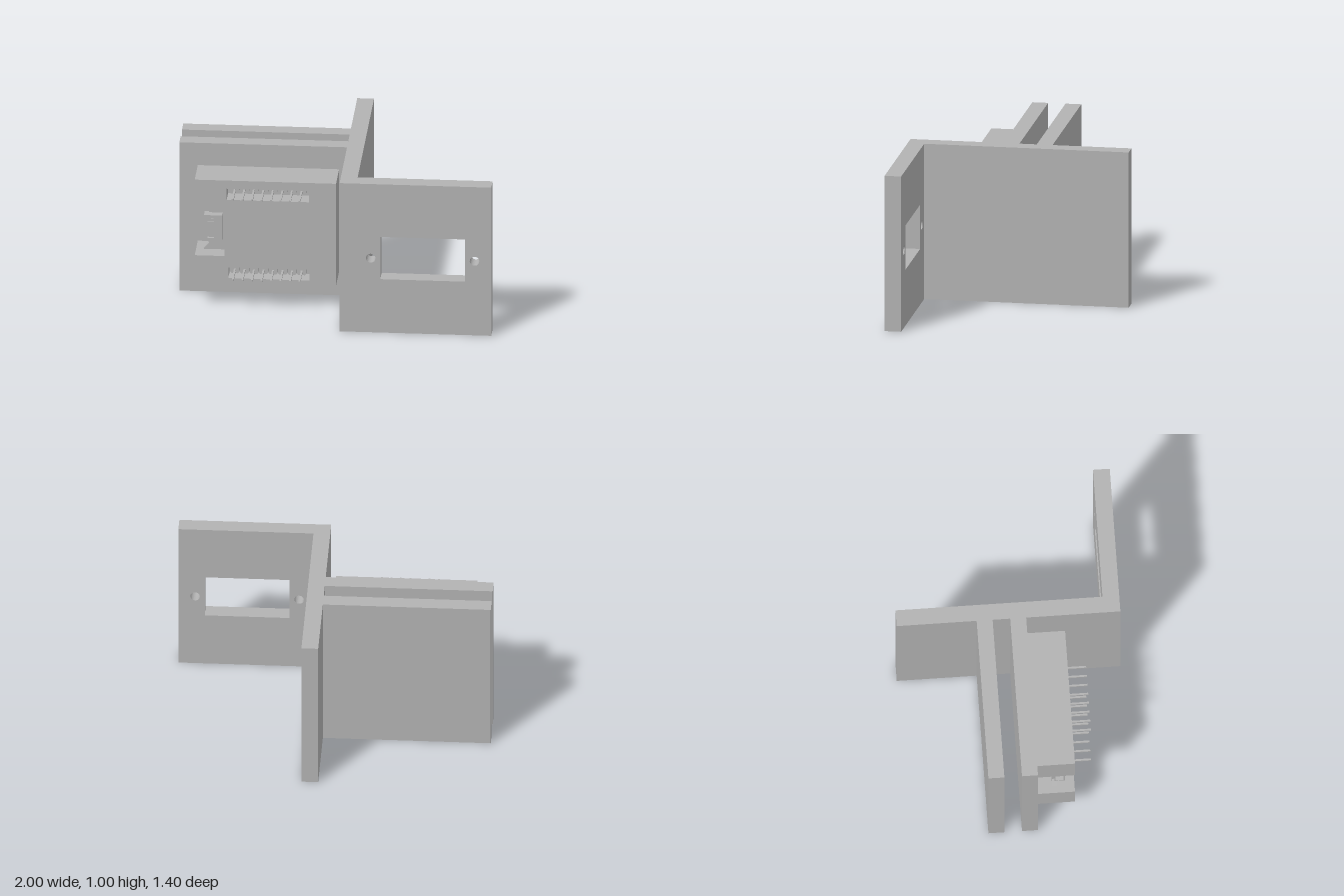
import * as THREE from 'three';

const grey = new THREE.MeshStandardMaterial({ color: 0xb2b2b2 });
grey.name = 'plain grey';

// Box given by its limits on each axis
function box(name, x0, x1, y0, y1, z0, z1) {
  const mesh = new THREE.Mesh(new THREE.BoxGeometry(x1 - x0, y1 - y0, z1 - z0), grey);
  mesh.position.set((x0 + x1) / 2, (y0 + y1) / 2, (z0 + z1) / 2);
  mesh.name = name;
  return mesh;
}

const polygon = (Kind, pts) => new Kind(pts.map(([x, y]) => new THREE.Vector2(x, y)));
const rectangle = (x0, x1, y0, y1) => polygon(THREE.Path, [[x0, y0], [x0, y1], [x1, y1], [x1, y0]]);

// Outline in x and y, extruded from z0 to z1
function slab(name, outline, holes, z0, z1) {
  const shape = polygon(THREE.Shape, outline);
  shape.holes.push(...holes);
  const geo = new THREE.ExtrudeGeometry(shape, { depth: z1 - z0, bevelEnabled: false, curveSegments: 20 });
  geo.translate(0, 0, z0);
  const mesh = new THREE.Mesh(geo, grey);
  mesh.name = name;
  return mesh;
}

// Pin header: a row of eight chamfered cells with a square pin in each
function pinHeader(name, y) {
  const group = new THREE.Group();
  group.name = name;
  const w = 0.028, h = 0.024, c = 0.008;
  for (let i = 0; i < 8; i++) {
    const x = -0.638 + i * 0.0597;
    group.add(slab('headerCell', [
      [x - w, y - h + c], [x - w + c, y - h], [x + w - c, y - h], [x + w, y - h + c],
      [x + w, y + h - c], [x + w - c, y + h], [x - w + c, y + h], [x - w, y + h - c],
    ], [], 0.24, 0.29));
    group.add(box('headerPin', x - 0.006, x + 0.006, y - 0.006, y + 0.006, 0.29, 0.467));
  }
  return group;
}

export function createModel() {
  const model = new THREE.Group();
  model.name = 'deviceBracket';

  // Upright wall and the two parallel side plates
  model.add(box('uprightWall', 0.05, 0.155, 0, 1, -0.7, 0.7));
  model.add(box('rearPlate', -1, 0.05, 0, 1, -0.2, -0.1));
  model.add(box('boardPlate', -1, 0.05, 0, 1, 0.01, 0.11));

  // Front panel with a window and two screw holes
  const screwHoles = [0.245, 0.895].map((x) => new THREE.Path().absarc(x, 0.5, 0.03, 0, Math.PI * 2, true));
  model.add(slab('frontPanel', [[0.155, 0], [1, 0], [1, 1], [0.155, 1]],
    [rectangle(0.305, 0.835, 0.36, 0.645), ...screwHoles], 0.595, 0.7));

  // Board holder, notched for the socket, with slots for the pin headers
  const outline = [[-0.885, 0.16], [0, 0.16], [0, 0.85], [-0.885, 0.85],
    [-0.885, 0.64], [-0.7, 0.64], [-0.7, 0.34], [-0.885, 0.34]];
  model.add(slab('holderBase', outline, [], 0.11, 0.24));
  model.add(slab('holderFace', outline,
    [rectangle(-0.685, -0.17, 0.72, 0.795), rectangle(-0.675, -0.165, 0.192, 0.265)], 0.24, 0.35));

  // Circuit board edge inside the notch
  model.add(slab('boardEdge', [[-0.84, 0.34], [-0.7, 0.34], [-0.7, 0.64], [-0.84, 0.64],
    [-0.805, 0.6], [-0.805, 0.38]], [], 0.21, 0.24));

  // Socket: open shell with its tongue, and two small slots on the front
  const socket = new THREE.Group();
  socket.name = 'socket';
  const [x0, x1, y0, y1, t] = [-0.832, -0.717, 0.412, 0.588, 0.008];
  socket.add(slab('socketFace', [[x0, y0], [x1, y0], [x1, y1], [x0, y1]],
    [rectangle(-0.81, -0.77, 0.435, 0.455), rectangle(-0.81, -0.77, 0.545, 0.565)], 0.282, 0.29));
  socket.add(box('socketBack', x0, x1, y0, y1, 0.225, 0.233));
  socket.add(box('socketSide', x0, x1, y0, y0 + t, 0.233, 0.282));
  socket.add(box('socketSide', x0, x1, y1 - t, y1, 0.233, 0.282));
  socket.add(box('socketEnd', x1 - t, x1, y0, y1, 0.233, 0.282));
  socket.add(box('socketTongue', x0 + 0.015, x1 - t, y0 + 0.035, y1 - 0.035, 0.25, 0.262));
  model.add(socket);

  model.add(pinHeader('upperPinHeader', 0.769), pinHeader('lowerPinHeader', 0.226));
  return model;
}
